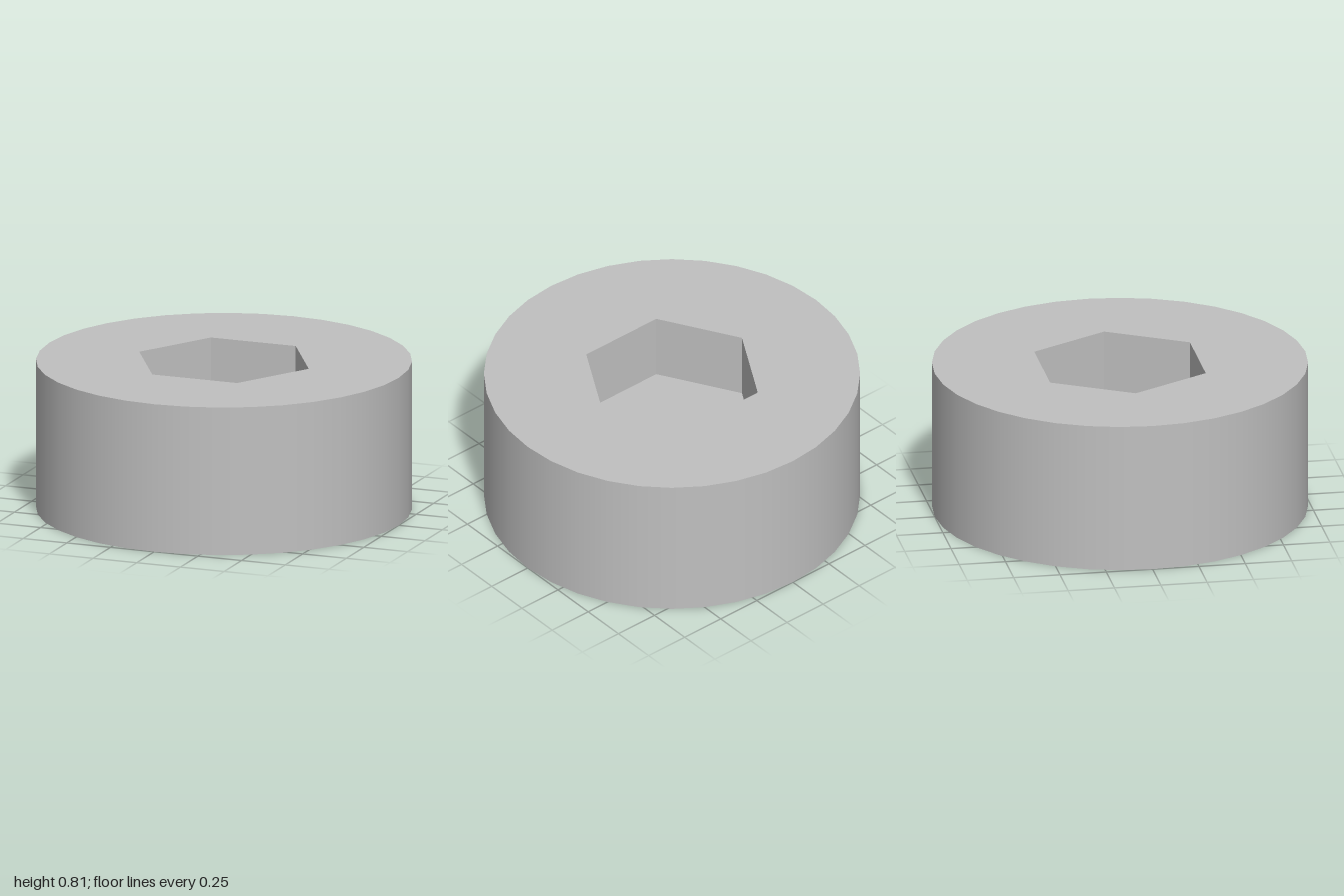
import * as THREE from 'three';

const RADIUS = 1, HEIGHT = 0.81, SEGMENTS = 36;
const SOCKET_RADIUS = 0.485, SOCKET_DEPTH = 0.37;

// Points of a regular polygon with a corner on +x
function polygon(radius, sides) {
  return Array.from({ length: sides }, (_, i) => {
    const a = (i / sides) * Math.PI * 2;
    return new THREE.Vector2(Math.cos(a) * radius, Math.sin(a) * radius);
  });
}

export function createModel() {
  const group = new THREE.Group();
  group.name = 'socketHead';

  const steel = new THREE.MeshStandardMaterial({ color: 0xc0c0c0 });
  steel.name = 'steel grey';

  const add = (name, geometry, y) => {
    const mesh = new THREE.Mesh(geometry, steel);
    mesh.name = name;
    mesh.position.y = y;
    group.add(mesh);
  };

  // Smooth outer wall
  add('outerWall', new THREE.CylinderGeometry(RADIUS, RADIUS, HEIGHT, SEGMENTS, 1, true), HEIGHT / 2);

  // Top face with the hexagonal opening
  const top = new THREE.Shape(polygon(RADIUS, SEGMENTS));
  top.holes.push(new THREE.Path(polygon(SOCKET_RADIUS, 6)));
  add('topFace', new THREE.ShapeGeometry(top).rotateX(-Math.PI / 2), HEIGHT);

  // Socket walls: a six-sided tube turned inside out, with flat facets
  const walls = new THREE.CylinderGeometry(
    SOCKET_RADIUS, SOCKET_RADIUS, SOCKET_DEPTH, 6, 1, true, Math.PI / 2
  ).toNonIndexed();
  const p = walls.attributes.position;
  for (let i = 0; i < p.count; i++) p.setX(i, -p.getX(i));
  walls.computeVertexNormals();
  add('socketWalls', walls, HEIGHT - SOCKET_DEPTH / 2);

  // Socket floor
  add('socketFloor', new THREE.CircleGeometry(SOCKET_RADIUS, 6).rotateX(-Math.PI / 2), HEIGHT - SOCKET_DEPTH);

  // Underside
  add('bottomFace', new THREE.CircleGeometry(RADIUS, SEGMENTS).rotateX(Math.PI / 2), 0);

  return group;
}
